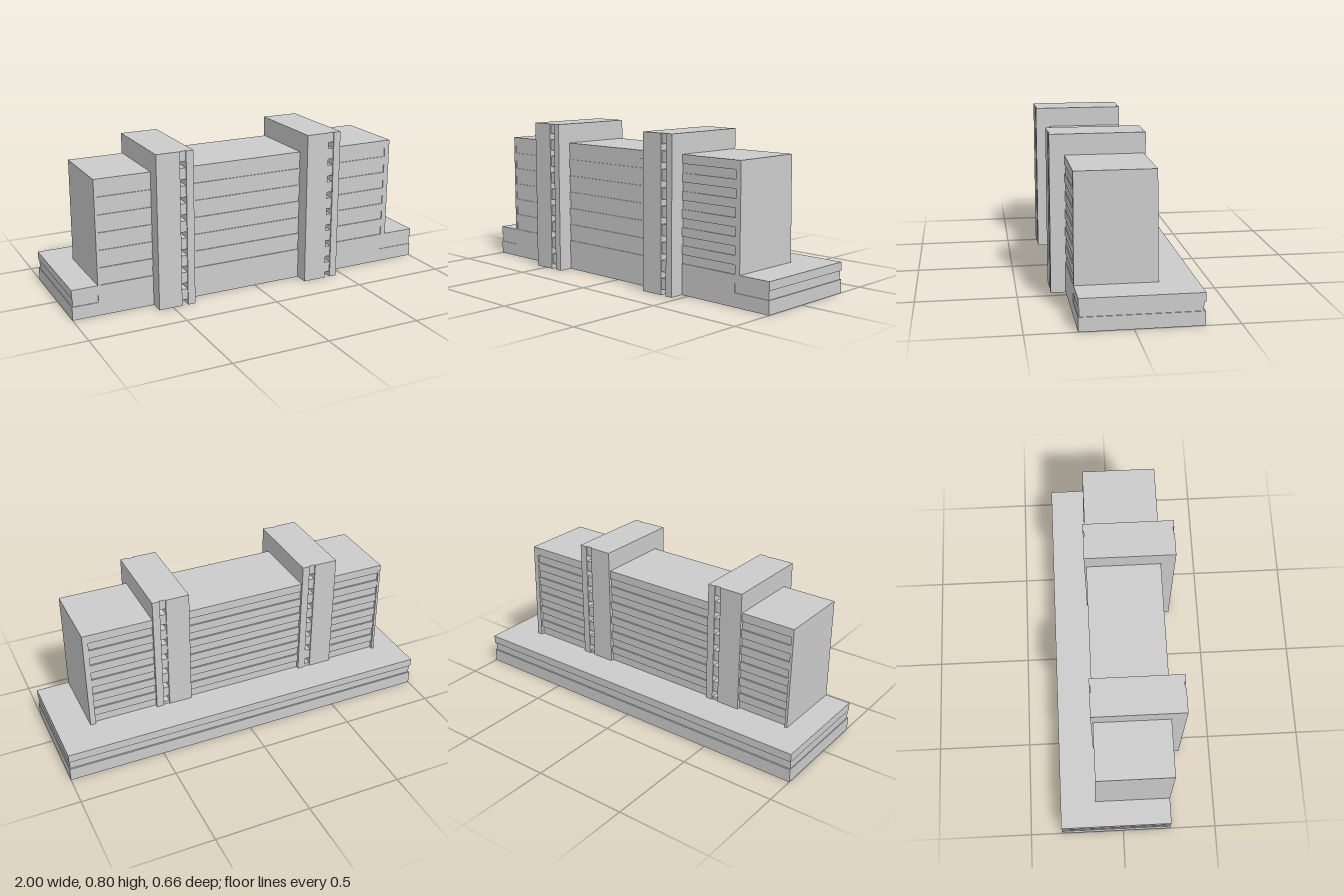
import * as THREE from 'three';

const material = new THREE.MeshStandardMaterial({ color: 0xcccccc, flatShading: true });

const FLOOR = 0.09;                   // storey height
const PODIUM_TOP = 0.159, ROOF = 0.70;
const FRONT = 0.255, BACK = -0.135;   // main block faces
const LEFT = -0.865, RIGHT = 0.825;   // main block ends
const BAND_X0 = -0.852, BAND_X1 = 0.796; // extent of the window bands
const TOWER_W = 0.196;
const TOWERS = [-0.574, 0.263];       // lower x of each tower

function add(parent, name, geometry) {
  const mesh = new THREE.Mesh(geometry, material);
  mesh.name = name;
  parent.add(mesh);
  return mesh;
}

// Box given by its limits on each axis
function block(parent, name, [x0, x1], [y0, y1], [z0, z1]) {
  const mesh = add(parent, name, new THREE.BoxGeometry(x1 - x0, y1 - y0, z1 - z0));
  mesh.position.set((x0 + x1) / 2, (y0 + y1) / 2, (z0 + z1) / 2);
  return mesh;
}

// Base with a shallow groove around it, filled flush below the main block's front
function makePodium() {
  const podium = new THREE.Group();
  podium.name = 'podium';
  block(podium, 'podiumBase', [-1, 1], [0, 0.07], [-0.33, FRONT]);
  block(podium, 'podiumGroove', [-0.996, 0.996], [0.07, 0.115], [-0.322, FRONT - 0.004]);
  block(podium, 'podiumFrontFill', [LEFT, BAND_X1], [0.07, 0.115], [0, FRONT]);
  block(podium, 'podiumCap', [-1, 1], [0.115, PODIUM_TOP], [-0.33, FRONT]);
  return podium;
}

// One stretch of the main block, with recessed window bands front and back
function makeWing(x0, x1) {
  const wing = new THREE.Group();
  wing.name = 'wing';
  const frontDepth = 0.005, backDepth = 0.008;
  block(wing, 'wingCore', [x0, x1], [PODIUM_TOP, ROOF], [BACK + backDepth, FRONT - frontDepth]);
  const faces = [[FRONT - frontDepth, FRONT], [BACK, BACK + backDepth]];
  const b0 = Math.max(x0, BAND_X0), b1 = Math.min(x1, BAND_X1);
  for (const z of faces) {
    // spandrels between the bands
    for (let k = 1; k <= 6; k++) {
      const y0 = 0.115 + FLOOR * k;
      const y1 = k === 6 ? ROOF : 0.07 + FLOOR * (k + 1);
      block(wing, 'spandrel', [b0, b1], [y0, y1], z);
    }
    // solid strips where the block ends
    if (x0 < b0) block(wing, 'endPost', [x0, b0], [PODIUM_TOP, ROOF], z);
    if (x1 > b1) block(wing, 'endPost', [b1, x1], [PODIUM_TOP, ROOF], z);
  }
  return wing;
}

// Rear corner fin that deepens towards the ground
function makeFin(parent, x0, x1) {
  const shape = new THREE.Shape();
  shape.moveTo(-BACK, PODIUM_TOP);
  shape.lineTo(0.145, PODIUM_TOP);
  shape.lineTo(0.144, 0.2);
  shape.lineTo(-BACK, ROOF);
  shape.closePath();
  const geometry = new THREE.ExtrudeGeometry(shape, { depth: x1 - x0, bevelEnabled: false });
  geometry.rotateY(Math.PI / 2);
  add(parent, 'rearFin', geometry).position.x = x0;
}

// Tall slab pierced by a column of square openings, with a vertical channel front and back
function makeTower(x) {
  const tower = new THREE.Group();
  tower.name = 'tower';
  const height = 0.804, z0 = -0.145, z1 = 0.33, channel = 0.006;
  const h0 = 0.124, h1 = 0.157, half = 0.0165;

  const shape = new THREE.Shape();
  const outline = [[0, 0], [h0, 0], [h0, 0.028], [h1, 0.028], [h1, 0], [TOWER_W, 0], [TOWER_W, height], [0, height]];
  shape.setFromPoints(outline.map(([a, b]) => new THREE.Vector2(a, b)));
  for (let k = 1; k <= 8; k++) {
    const y = 0.011 + 0.0905 * k;
    const hole = new THREE.Path();
    hole.moveTo(h0, y - half);
    hole.lineTo(h0, y + half);
    hole.lineTo(h1, y + half);
    hole.lineTo(h1, y - half);
    hole.closePath();
    shape.holes.push(hole);
  }
  const core = new THREE.ExtrudeGeometry(shape, { depth: z1 - z0 - 2 * channel, bevelEnabled: false });
  add(tower, 'towerCore', core).position.z = z0 + channel;

  for (const z of [[z0, z0 + channel], [z1 - channel, z1]]) {
    const y = [z[0] > 0 ? 0 : PODIUM_TOP, height];
    block(tower, 'towerFacing', [0, h0], y, z);
    block(tower, 'towerFacing', [h1, TOWER_W], y, z);
  }
  tower.position.x = x;
  return tower;
}

export function createModel() {
  const model = new THREE.Group();
  model.name = 'building';
  model.add(makePodium());

  // Wings fill the gaps between the towers
  const edges = [LEFT, ...TOWERS.flatMap((x) => [x, x + TOWER_W]), RIGHT];
  for (let i = 0; i < edges.length; i += 2) model.add(makeWing(edges[i], edges[i + 1]));

  makeFin(model, LEFT, BAND_X0);
  makeFin(model, BAND_X1, RIGHT);
  for (const x of TOWERS) model.add(makeTower(x));
  return model;
}
